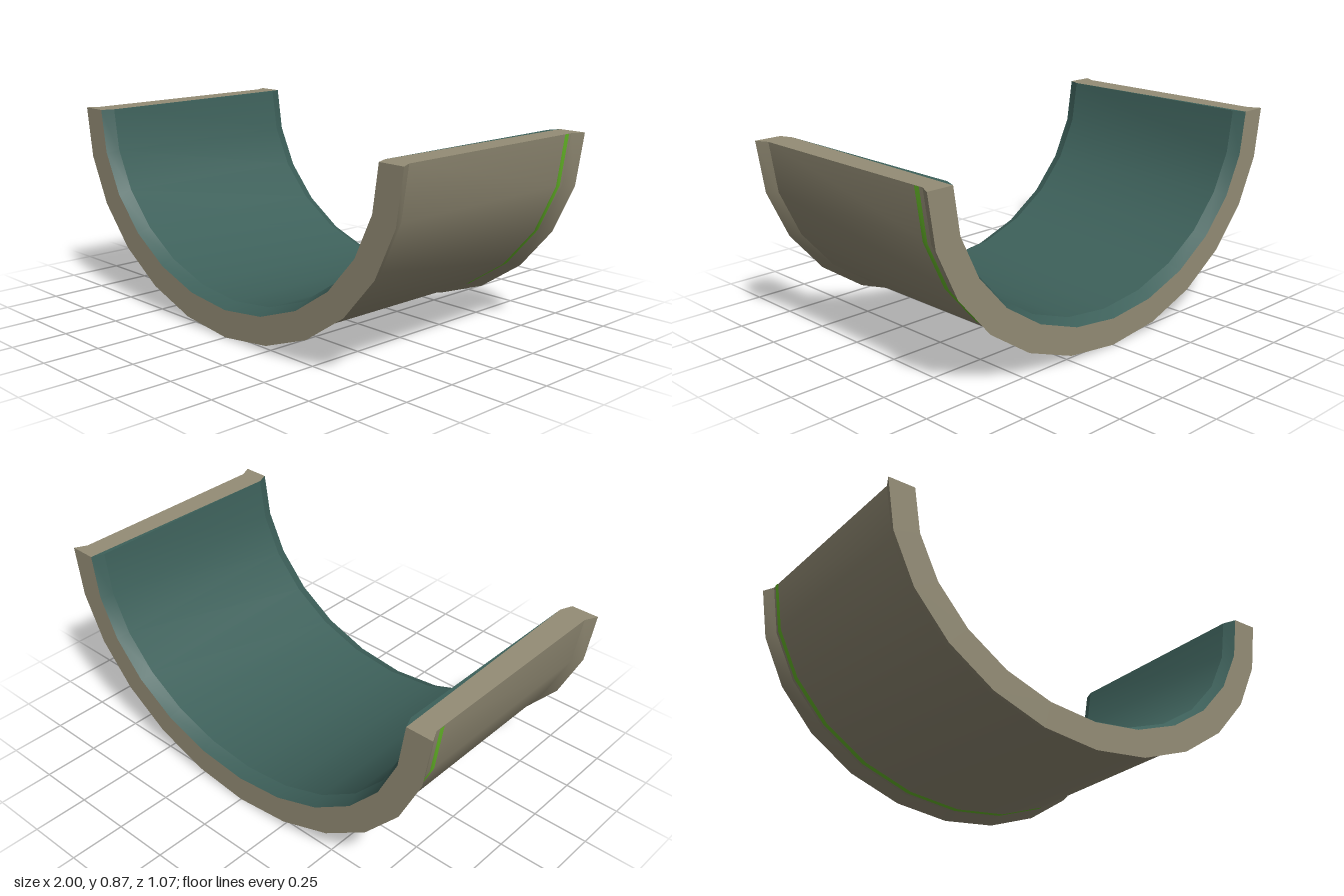
import * as THREE from 'three';

const TOP = 0.87, SEGMENTS = 12;
const END = 0.535, NECK = 0.48;

// Half-elliptical surface through rings of [radiusX, radiusY, z]
function halfLoft(rings) {
  const pos = [], idx = [], row = SEGMENTS + 1;
  rings.forEach(([rx, ry, z], j) => {
    for (let i = 0; i <= SEGMENTS; i++) {
      const t = (i / SEGMENTS) * Math.PI;
      pos.push(rx * Math.cos(t), TOP - ry * Math.sin(t), z);
      if (j < rings.length - 1 && i < SEGMENTS) {
        const a = j * row + i, b = a + row;
        idx.push(a, b, a + 1, b, b + 1, a + 1);
      }
    }
  });
  const geo = new THREE.BufferGeometry();
  geo.setAttribute('position', new THREE.Float32BufferAttribute(pos, 3));
  geo.setIndex(idx);
  geo.computeVertexNormals();
  return geo;
}

// Flat horizontal polygon at the top, from [x, z] corners
function topPlate(points, side) {
  const shape = new THREE.Shape(points.map(([x, z]) => new THREE.Vector2(x * side, -z)));
  return new THREE.ShapeGeometry(shape).rotateX(-Math.PI / 2).translate(0, TOP, 0);
}

export function createModel() {
  const group = new THREE.Group();
  const material = (name, color) => {
    const m = new THREE.MeshStandardMaterial({ color });
    m.name = name;
    return m;
  };
  const shell = material('shell beige', 0x948d76);
  const lining = material('lining teal', 0x3d605a);
  const marking = material('marking green', 0x6abf2a);
  const add = (name, geo, mat) => {
    const mesh = new THREE.Mesh(geo, mat);
    mesh.name = name;
    group.add(mesh);
  };

  const outerEnd = [1, 0.87], outerNeck = [0.973, 0.84];
  const innerEnd = [0.88, 0.75], innerNeck = [0.858, 0.722];

  // Outer shell with a flared lip at each end
  add('outerShell', halfLoft([[...outerNeck, -NECK], [...outerNeck, NECK]]), shell);
  add('frontFlare', halfLoft([[...outerNeck, NECK], [...outerEnd, END]]), shell);
  add('backFlare', halfLoft([[...outerEnd, -END], [...outerNeck, -NECK]]), shell);

  // Flat end faces
  add('frontFace', halfLoft([[...outerEnd, END], [...innerEnd, END]]), shell);
  add('backFace', halfLoft([[...innerEnd, -END], [...outerEnd, -END]]), shell);

  // Inner lining
  add('lining', halfLoft([[...innerNeck, NECK], [...innerNeck, -NECK]]), lining);
  add('frontLiningLip', halfLoft([[...innerEnd, END], [...innerNeck, NECK]]), lining);
  add('backLiningLip', halfLoft([[...innerNeck, -NECK], [...innerEnd, -END]]), lining);

  // Green band around the outside near the back
  const band = [outerNeck[0] + 0.002, outerNeck[1] + 0.002];
  add('band', halfLoft([[...band, -0.462], [...band, -0.436]]), marking);

  // Top edges, each with a thin wedge of lining showing
  for (const [label, side] of [['left', 1], ['right', -1]]) {
    add(label + 'TopEdge', topPlate([
      [outerEnd[0], -END], [outerNeck[0], -NECK], [outerNeck[0], NECK], [outerEnd[0], END],
      [innerEnd[0], END], [innerNeck[0], NECK], [innerEnd[0], -END],
    ], side), shell);
    add(label + 'LiningEdge', topPlate([
      [innerEnd[0], -END], [innerNeck[0], NECK], [innerNeck[0], -NECK],
    ], side), lining);
  }
  return group;
}
